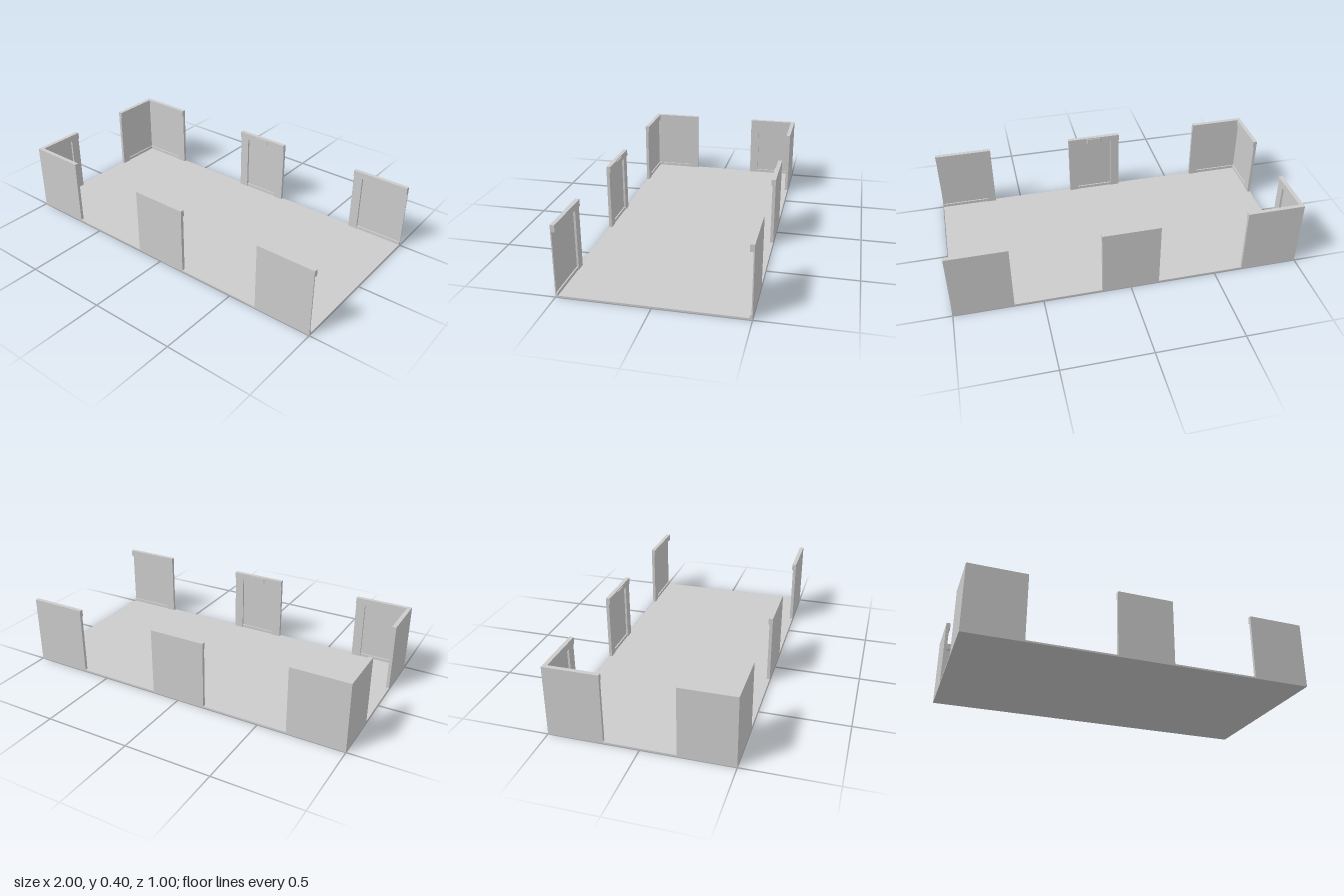
import * as THREE from 'three';

const material = new THREE.MeshStandardMaterial({ color: 0xcccccc, flatShading: true });
const BASE = 0.01, TOP = 0.4;
const SHEET = 0.006, POST = 0.018, RAIL = 0.024, SILL = 0.014;
const POST_WIDTH = 0.055;

// Box given by its lower and upper corners
function block(name, x0, x1, y0, y1, z0, z1) {
  const geometry = new THREE.BoxGeometry(x1 - x0, y1 - y0, z1 - z0);
  geometry.translate((x0 + x1) / 2, (y0 + y1) / 2, (z0 + z1) / 2);
  const mesh = new THREE.Mesh(geometry, material);
  mesh.name = name;
  return mesh;
}

// Framed wall panel: outer face on z = 0, frame projecting towards -z
function wallPanel(name, x0, x1, posts) {
  const panel = new THREE.Group();
  panel.name = name;
  panel.add(
    block('panelSheet', x0, x1, BASE, TOP, -SHEET, 0),
    block('topRail', x0, x1, 0.362, TOP, -RAIL, -SHEET),
    block('bottomRail', x0, x1, BASE, 0.028, -SILL, -SHEET)
  );
  if (posts.includes('start')) panel.add(block('post', x0, x0 + POST_WIDTH, BASE, 0.362, -POST, -SHEET));
  if (posts.includes('end')) panel.add(block('post', x1 - POST_WIDTH, x1, BASE, 0.362, -POST, -SHEET));
  return panel;
}

// Small tapered catch on the middle of a top rail
function catchBlock() {
  const shape = new THREE.Shape();
  shape.moveTo(-0.05, 0);
  shape.lineTo(0.05, 0);
  shape.lineTo(0.04, 0.005);
  shape.lineTo(-0.04, 0.005);
  const geometry = new THREE.ExtrudeGeometry(shape, { depth: 0.03, bevelEnabled: false });
  geometry.rotateX(-Math.PI / 2);
  geometry.translate(0, 0.364, -RAIL);
  const mesh = new THREE.Mesh(geometry, material);
  mesh.name = 'railCatch';
  return mesh;
}

export function createModel() {
  const model = new THREE.Group();
  model.name = 'trackBase';
  model.add(block('floor', -1, 1, 0, BASE, -0.5, 0.5));

  // Long sides: the panels are laid out for the front, and turned for the back
  for (const side of [1, -1]) {
    const wall = new THREE.Group();
    wall.name = side > 0 ? 'frontWall' : 'backWall';
    // side * x keeps the closed corners at -x after turning
    const closed = side > 0 ? [-1, -0.667, ['end']] : [0.667, 1, ['start']];
    const open = side > 0 ? [0.663, 1, ['start']] : [-1, -0.663, ['end']];
    const middle = wallPanel('middlePanel', -0.165, 0.165, ['start', 'end']);
    middle.add(catchBlock());
    wall.add(wallPanel('cornerPanel', ...closed), middle, wallPanel('openEndPanel', ...open));
    wall.position.z = side * 0.5;
    if (side < 0) wall.rotation.y = Math.PI;
    model.add(wall);
  }

  // Two end panels at -x, with a gap between them
  const endWall = new THREE.Group();
  endWall.name = 'endWall';
  endWall.add(
    wallPanel('endPanelBack', -0.494, -0.195, ['end']),
    wallPanel('endPanelFront', 0.195, 0.494, ['start'])
  );
  endWall.rotation.y = -Math.PI / 2;
  endWall.position.x = -1;
  model.add(endWall);
  return model;
}
